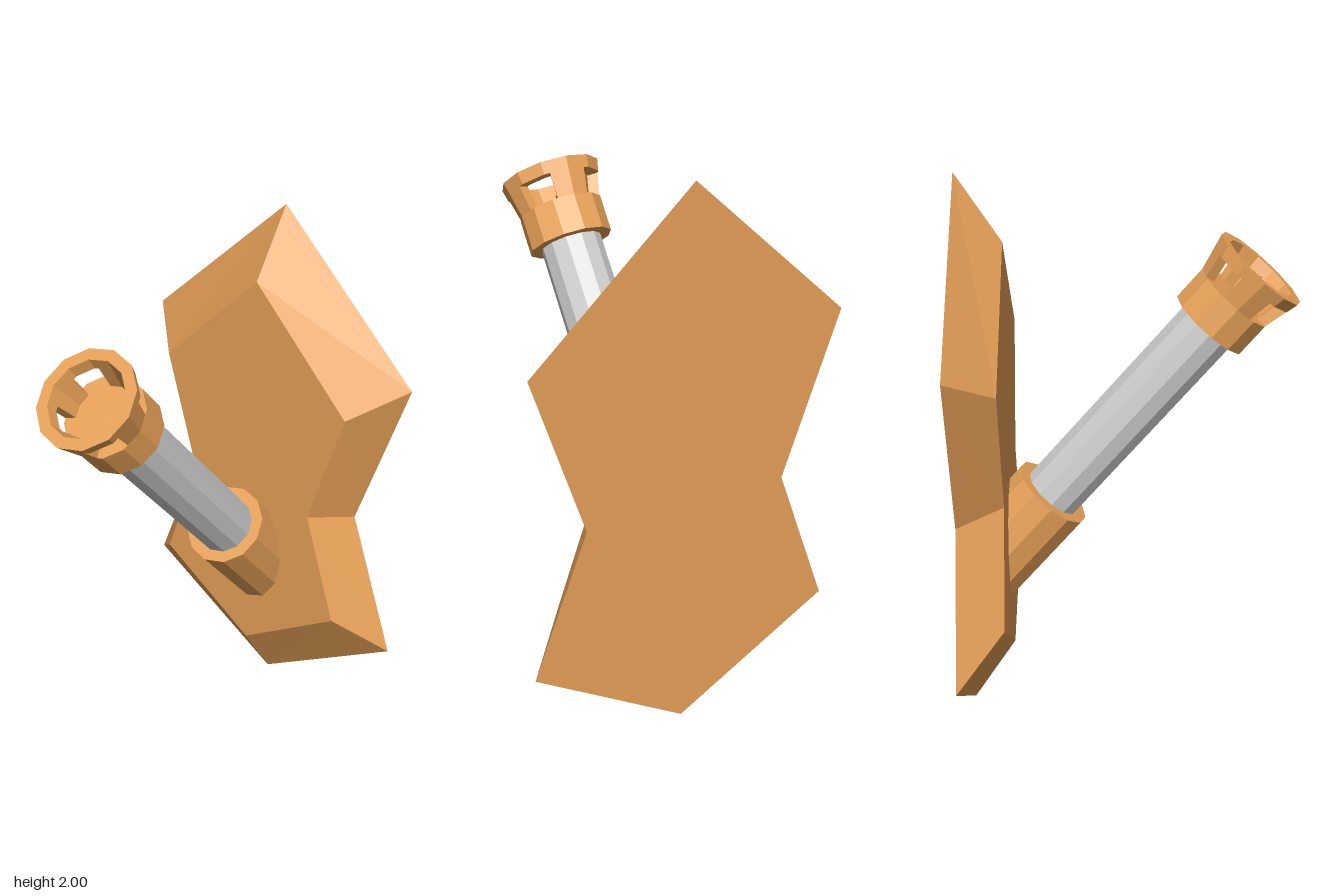
import * as THREE from 'three';

const SIDES = 12;
const STEP = (Math.PI * 2) / SIDES;
const TILT = THREE.MathUtils.degToRad(40.7);

const wood = new THREE.MeshStandardMaterial({ color: 0xe6a057, flatShading: true });
const grey = new THREE.MeshStandardMaterial({ color: 0xcccccc, flatShading: true });

function addMesh(parent, name, geometry, material) {
  const mesh = new THREE.Mesh(geometry, material);
  mesh.name = name;
  parent.add(mesh);
  return mesh;
}

function fromTriangles(points) {
  const geometry = new THREE.BufferGeometry().setFromPoints(points);
  geometry.computeVertexNormals();
  return geometry;
}

// Upright cylinder between two heights
function rod(radius, bottom, top) {
  return new THREE.CylinderGeometry(radius, radius, top - bottom, SIDES)
    .translate(0, (bottom + top) / 2, 0);
}

// Sweeps a closed [radius, height] profile through angles, staying on the twelve-sided wall
function sweep(profile, angles, capped) {
  const n = profile.length;
  const at = (i, k) => {
    const a = angles[i];
    const within = ((a % STEP) + STEP) % STEP;
    const r = profile[k % n][0] * Math.cos(STEP / 2) / Math.cos(within - STEP / 2);
    return new THREE.Vector3(r * Math.sin(a), profile[k % n][1], r * Math.cos(a));
  };
  const tris = [];
  const last = angles.length - 1;
  for (let i = 0; i < last; i++) {
    for (let k = 0; k < n; k++) {
      tris.push(at(i, k), at(i + 1, k), at(i, k + 1));
      tris.push(at(i + 1, k), at(i + 1, k + 1), at(i, k + 1));
    }
  }
  if (capped) {
    for (let k = 1; k < n - 1; k++) {
      tris.push(at(0, 0), at(0, k), at(0, k + 1));
      tris.push(at(last, 0), at(last, k + 1), at(last, k));
    }
  }
  return fromTriangles(tris);
}

// Waisted wall plate with sloping edges
function plateGeometry() {
  const loop = (half, z) => {
    const mirrored = half.slice(1, -1).reverse().map(([x, y]) => [-x, y]);
    // counter-clockwise seen from the front
    return [...half, ...mirrored].map(([x, y]) => new THREE.Vector3(x, y, z));
  };
  const back = loop([[0, 0], [0.557, 0.35], [0.365, 0.88], [0.557, 1.468], [0, 2]], -0.575);
  const front = loop([[0, 0.24], [0.395, 0.505], [0.26, 0.91], [0.395, 1.36], [0, 1.765]], -0.42);
  const backMid = new THREE.Vector3(0, 0.9, -0.575);
  const frontMid = new THREE.Vector3(0, 0.9, -0.42);
  const tris = [];
  back.forEach((b, i) => {
    const j = (i + 1) % back.length;
    tris.push(frontMid, front[i], front[j]);
    tris.push(backMid, back[j], b);
    tris.push(b, back[j], front[j], b, front[j], front[i]);
  });
  return fromTriangles(tris);
}

// Socket whose lower end is cut off inside the plate
function socketGeometry() {
  const geometry = rod(0.15, -0.4, 0);
  const p = geometry.attributes.position;
  for (let i = 0; i < p.count; i++) {
    if (p.getY(i) < -0.1) {
      // slide along the axis until the vertex lies just behind the plate face
      p.setY(i, (-0.45 + 0.268 - p.getZ(i) * Math.cos(TILT)) / Math.sin(TILT));
    }
  }
  geometry.computeVertexNormals();
  return geometry;
}

export function createModel() {
  const model = new THREE.Group();
  model.name = 'wallTorch';
  addMesh(model, 'wallPlate', plateGeometry(), wood);

  // Everything on the tilted axis
  const torch = new THREE.Group();
  torch.name = 'torch';
  torch.position.set(0, 0.848, -0.268);
  torch.rotation.x = TILT;
  model.add(torch);
  addMesh(torch, 'socket', socketGeometry(), wood);
  addMesh(torch, 'handle', rod(0.108, -0.06, 0.86), grey);

  // Flared open cup at the top
  const cup = new THREE.Group();
  cup.name = 'cup';
  cup.position.y = 0.834;
  torch.add(cup);
  addMesh(cup, 'cupBase', rod(0.148, 0, 0.128), wood);

  const wall = (low, high) => {
    const outer = (y) => 0.148 + (y - 0.128) * 0.23;
    const inner = (y) => 0.109 + (y - 0.128) * 0.22;
    return [[inner(low), low], [outer(low), low], [outer(high), high], [inner(high), high]];
  };
  const around = Array.from({ length: SIDES + 1 }, (_, i) => i * STEP);
  addMesh(cup, 'cupRim', sweep(wall(0.215, 0.258), around, false), wood);

  // Four posts leave windows between them
  const halfPost = THREE.MathUtils.degToRad(23);
  const postGeometry = sweep(wall(0.128, 0.215), [-halfPost, 0, halfPost], true);
  for (let i = 0; i < 4; i++) {
    addMesh(cup, 'cupPost', postGeometry, wood).rotation.y = (i * Math.PI) / 2;
  }
  return model;
}
